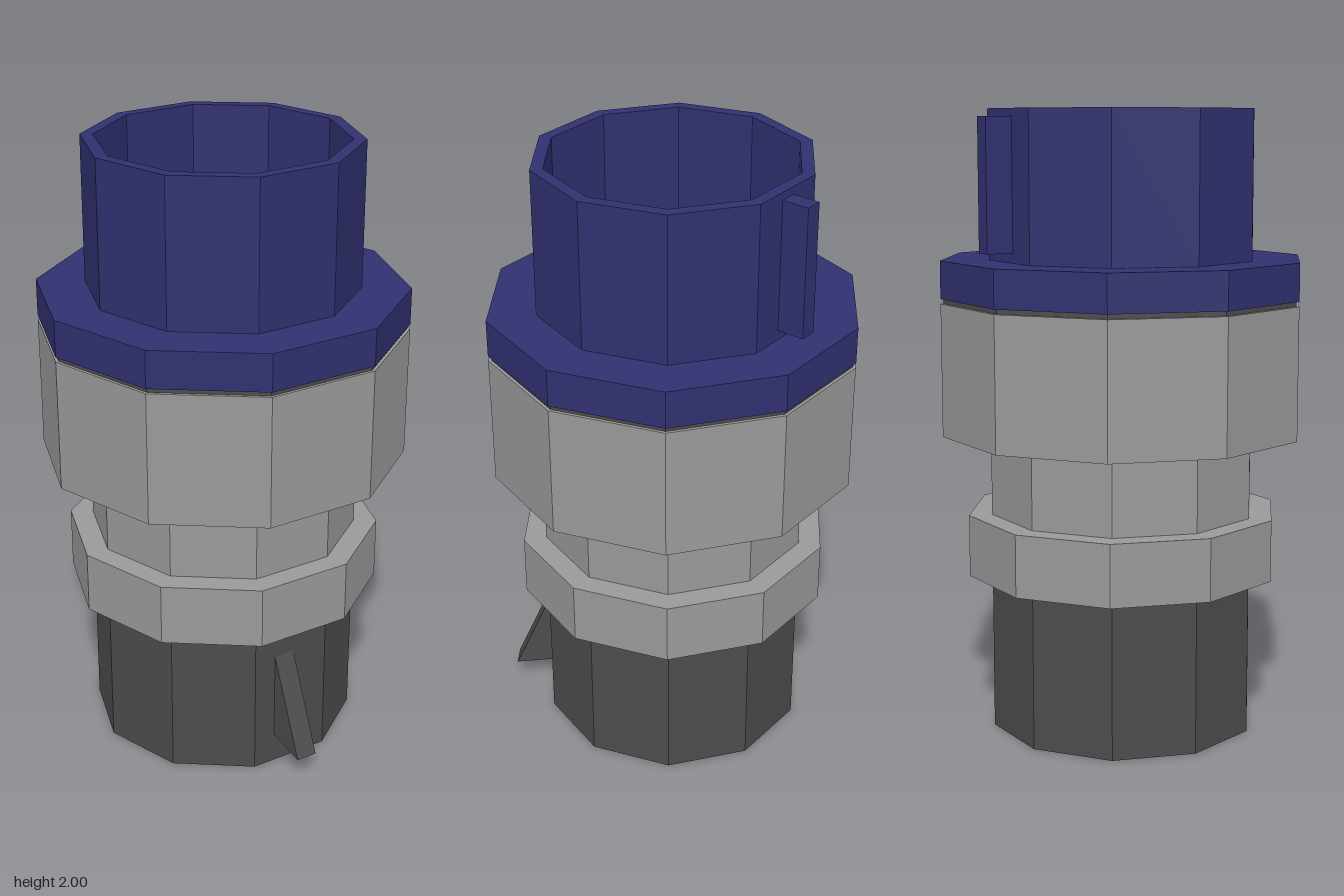
import * as THREE from 'three';

const SIDES = 10;
const paint = (name, color) => {
  const m = new THREE.MeshStandardMaterial({ color });
  m.name = name;
  return m;
};

// Give every facet its own normal
function faceted(geometry) {
  const g = geometry.index ? geometry.toNonIndexed() : geometry;
  g.computeVertexNormals();
  return g;
}

export function createModel() {
  const group = new THREE.Group();
  const blue = paint('plugBlue', 0x303070);
  const grey = paint('metalGrey', 0x999999);
  const dark = paint('rubberDark', 0x4c4c4c);

  function add(name, geometry, material) {
    const mesh = new THREE.Mesh(faceted(geometry), material);
    mesh.name = name;
    group.add(mesh);
    return mesh;
  }

  // Ten-sided turned part with corners on the x axis; profile is [radius, y]
  function turned(name, profile, material) {
    const points = profile.map(([r, y]) => new THREE.Vector2(r, y));
    return add(name, new THREE.LatheGeometry(points, SIDES, Math.PI / 2), material);
  }

  // Dark base with a shallow inset underside
  turned('base', [[0, 0.005], [0.395, 0.005], [0.395, 0], [0.435, 0], [0.435, 0.51]], dark);

  // Grey body: lower ring, neck and broad collar
  turned('body', [
    [0.435, 0.51], [0.51, 0.51], [0.51, 0.71], [0.435, 0.71],
    [0.435, 0.97], [0.59, 0.97], [0.59, 1.395], [0.575, 1.395],
  ], grey);

  // Thin seal between collar and flange
  turned('seal', [[0.58, 1.39], [0.58, 1.415]], dark);

  // Blue flange and hollow sleeve
  turned('sleeve', [
    [0.57, 1.41], [0.59, 1.41], [0.59, 1.53], [0.435, 1.53],
    [0.435, 2], [0.395, 2], [0.395, 1.42], [0, 1.42],
  ], blue);

  // Upright key centred on a rear facet of the sleeve
  const angle = Math.PI * 0.3;
  const key = add('sleeveKey', new THREE.BoxGeometry(0.055, 0.415, 0.1), blue);
  key.position.set(Math.cos(angle) * 0.452, 1.768, -Math.sin(angle) * 0.452);
  key.rotation.y = Math.PI / 2 + angle;

  // Wedge-shaped catch on the front of the base
  const wedge = new THREE.Shape([
    new THREE.Vector2(-0.405, 0.42), new THREE.Vector2(-0.553, 0.083), new THREE.Vector2(-0.405, 0.103),
  ]);
  const latch = add('frontCatch', new THREE.ExtrudeGeometry(wedge, { depth: 0.07, bevelEnabled: false }), dark);
  latch.rotation.y = Math.PI / 2;
  latch.position.x = -0.06;

  return group;
}
